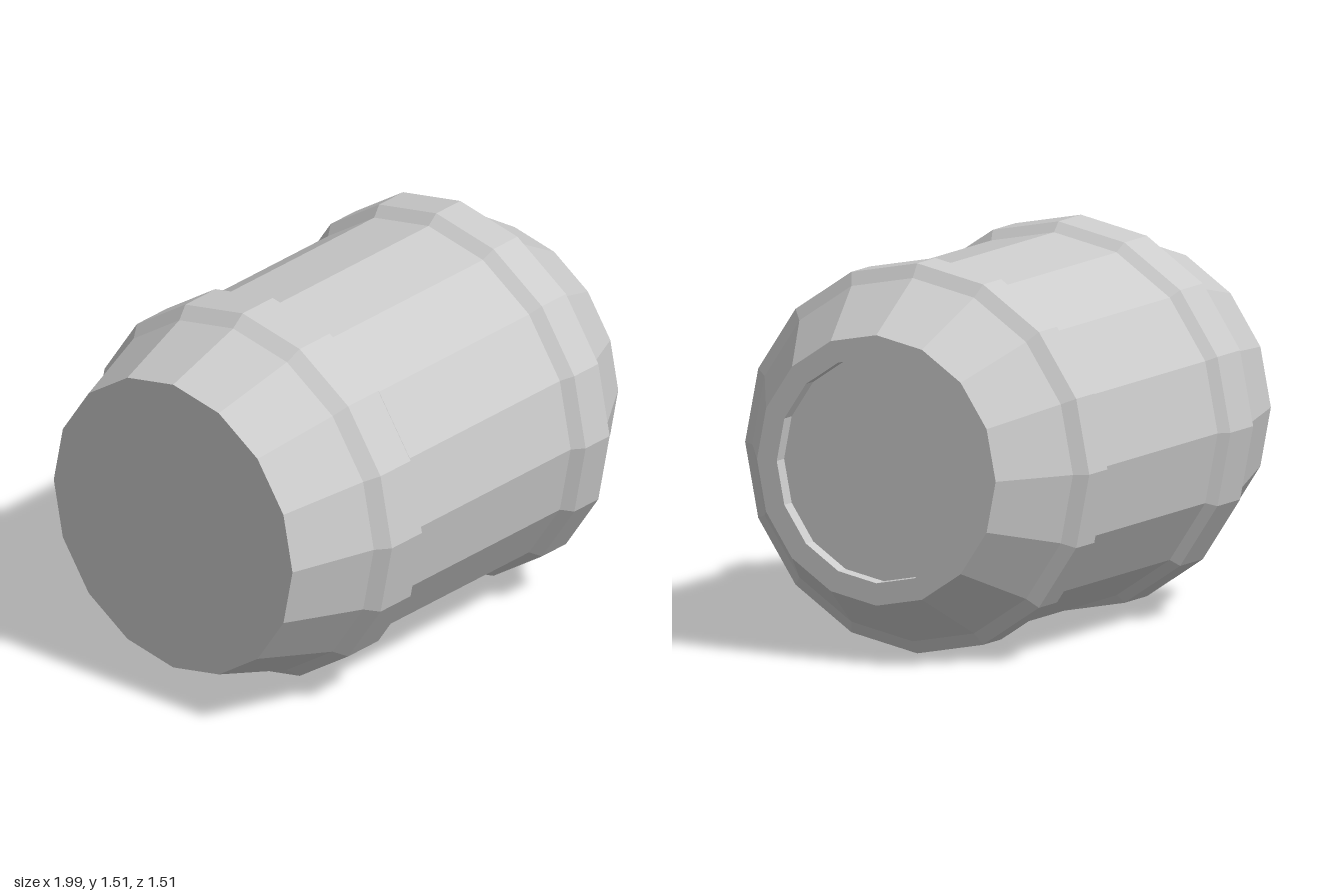
import * as THREE from 'three';

const SIDES = 16;
const AXIS_HEIGHT = 0.757;

export function createModel() {
  const barrel = new THREE.Group();
  barrel.name = 'barrel';
  const material = new THREE.MeshStandardMaterial({ color: 0xcccccc, flatShading: true });

  // Each part is a ring of 16 flat sides; profile points are [x along the axis, radius].
  function addPart(name, profile) {
    const points = profile.map(([x, r]) => new THREE.Vector2(r, x));
    const geometry = new THREE.LatheGeometry(points, SIDES);
    geometry.rotateZ(-Math.PI / 2); // lay the axis along +x
    const mesh = new THREE.Mesh(geometry, material);
    mesh.name = name;
    mesh.position.y = AXIS_HEIGHT;
    barrel.add(mesh);
  }

  // Closed, gently tapered end
  addPart('closedEnd', [[-1, 0], [-1, 0.605], [-0.65, 0.713]]);

  // Raised hoops with bevelled edges
  addPart('closedEndHoop', [[-0.65, 0.713], [-0.595, 0.757], [-0.42, 0.757], [-0.385, 0.72]]);
  addPart('rimEndHoop', [[0.49, 0.72], [0.535, 0.757], [0.675, 0.757], [0.71, 0.705]]);

  // Straight middle
  addPart('body', [[-0.385, 0.72], [0.49, 0.72]]);

  // Steeper tapered end with a rim around a shallow recessed lid
  addPart('rimEnd', [[0.71, 0.705], [0.992, 0.525]]);
  addPart('rim', [[0.992, 0.525], [0.992, 0.438], [0.935, 0.438]]);
  addPart('recessedLid', [[0.935, 0.438], [0.935, 0]]);

  return barrel;
}
